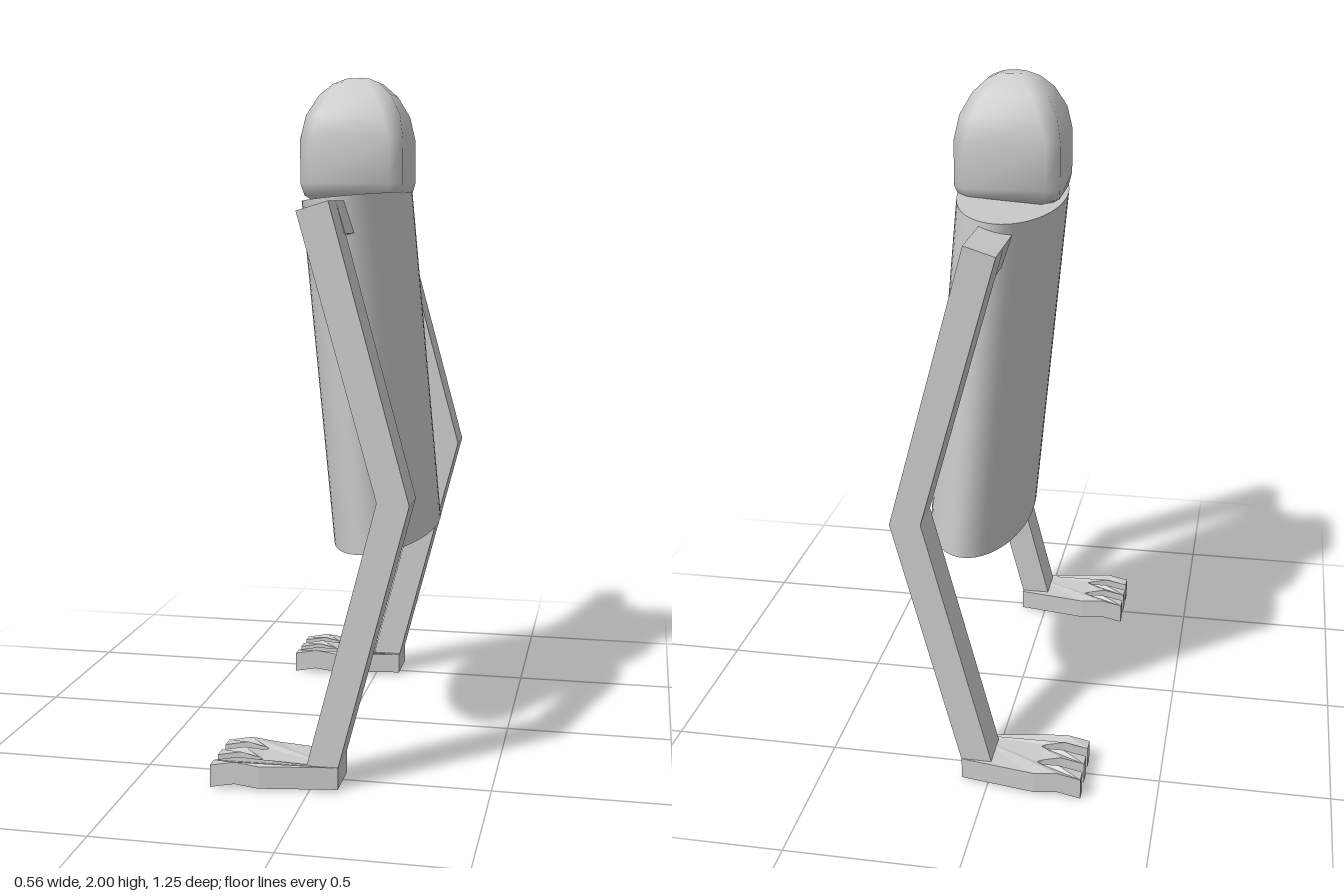
import * as THREE from 'three';

const material = new THREE.MeshStandardMaterial({ color: 0xcccccc });

function add(parent, name, geometry) {
  const mesh = new THREE.Mesh(geometry, material);
  mesh.name = name;
  parent.add(mesh);
  return mesh;
}

// Extrude an outline in the x-y plane, centred on z = 0
function slab(points, depth) {
  const shape = new THREE.Shape(points.map(([x, y]) => new THREE.Vector2(x, y)));
  return new THREE.ExtrudeGeometry(shape, { depth, bevelEnabled: false }).translate(0, 0, -depth / 2);
}

// Loft of chamfered rectangles: [y, half width x, half width z, chamfer]
function headGeometry() {
  const rings = [
    [1.635, 0.12, 0.1, 0.03], [1.655, 0.148, 0.125, 0.034], [1.69, 0.154, 0.156, 0.036],
    [1.82, 0.154, 0.156, 0.036], [1.89, 0.141, 0.143, 0.045], [1.95, 0.108, 0.108, 0.04],
    [1.985, 0.07, 0.07, 0.03], [2.0, 0.035, 0.035, 0.015],
  ];
  const pos = [], index = [], n = 8;
  for (const [y, w, d, c] of rings) {
    const ring = [
      [w, -d + c], [w, d - c], [w - c, d], [c - w, d],
      [-w, d - c], [-w, c - d], [c - w, -d], [w - c, -d],
    ];
    ring.forEach(([x, z]) => pos.push(x, y, z));
  }
  for (let i = 0; i < rings.length - 1; i++) {
    for (let j = 0; j < n; j++) {
      const a = i * n + j, b = i * n + (j + 1) % n;
      index.push(a, a + n, b, b, a + n, b + n);
    }
  }
  // End caps
  const top = (rings.length - 1) * n;
  for (let j = 1; j < n - 1; j++) {
    index.push(0, j, j + 1);
    index.push(top, top + j + 1, top + j);
  }
  const g = new THREE.BufferGeometry();
  g.setAttribute('position', new THREE.Float32BufferAttribute(pos, 3));
  g.setIndex(index);
  g.computeVertexNormals();
  return g;
}

// Flat hand with three fingers pointing to -x; fingers arch slightly
function handGeometry() {
  const half = [
    [0.08, 0.065], [-0.14, 0.1], [-0.21, 0.1], [-0.28, 0.1], [-0.28, 0.06],
    [-0.21, 0.06], [-0.155, 0.05], [-0.143, 0.04], [-0.155, 0.03], [-0.21, 0.02], [-0.28, 0.02],
  ];
  const mirrored = half.map(([x, z]) => [x, -z]).reverse();
  const g = slab([...half, ...mirrored], 0.064);
  g.rotateX(Math.PI / 2);
  const p = g.attributes.position;
  for (let i = 0; i < p.count; i++) {
    const x = p.getX(i);
    let lift = 0;
    if (x < -0.25) lift = -0.006;
    else if (x < -0.18) lift = 0.008;
    p.setY(i, p.getY(i) + 0.043 + lift);
  }
  g.computeVertexNormals();
  return g;
}

export function createModel() {
  const model = new THREE.Group();
  model.name = 'figure';

  // Leaning oval torso
  const torso = add(model, 'torso',
    new THREE.CylinderGeometry(1, 1, 1.02, 64).scale(0.154, 1, 0.387));
  torso.position.set(0.073, 1.143, 0);
  torso.rotation.z = 0.095;

  add(model, 'head', headGeometry()).position.x = 0.025;

  // Arms, each reaching down to a hand on the ground
  for (const side of [1, -1]) {
    const arm = new THREE.Group();
    arm.name = side > 0 ? 'leftArm' : 'rightArm';
    add(arm, 'bentArm', slab([
      [-0.033, 1.613], [-0.013, 0.06], [0.077, 0.06], [0.277, 0.825], [0.055, 1.64],
    ].toSpliced(1, 0, [0.187, 0.83]), 0.118)).position.z = side * 0.53;
    add(arm, 'shoulder', slab([
      [-0.033, 1.613], [-0.006, 1.525], [0.082, 1.55], [0.055, 1.64],
    ], 0.16)).position.z = side * 0.41;
    add(arm, 'hand', handGeometry()).position.z = side * 0.525;
    model.add(arm);
  }
  return model;
}
